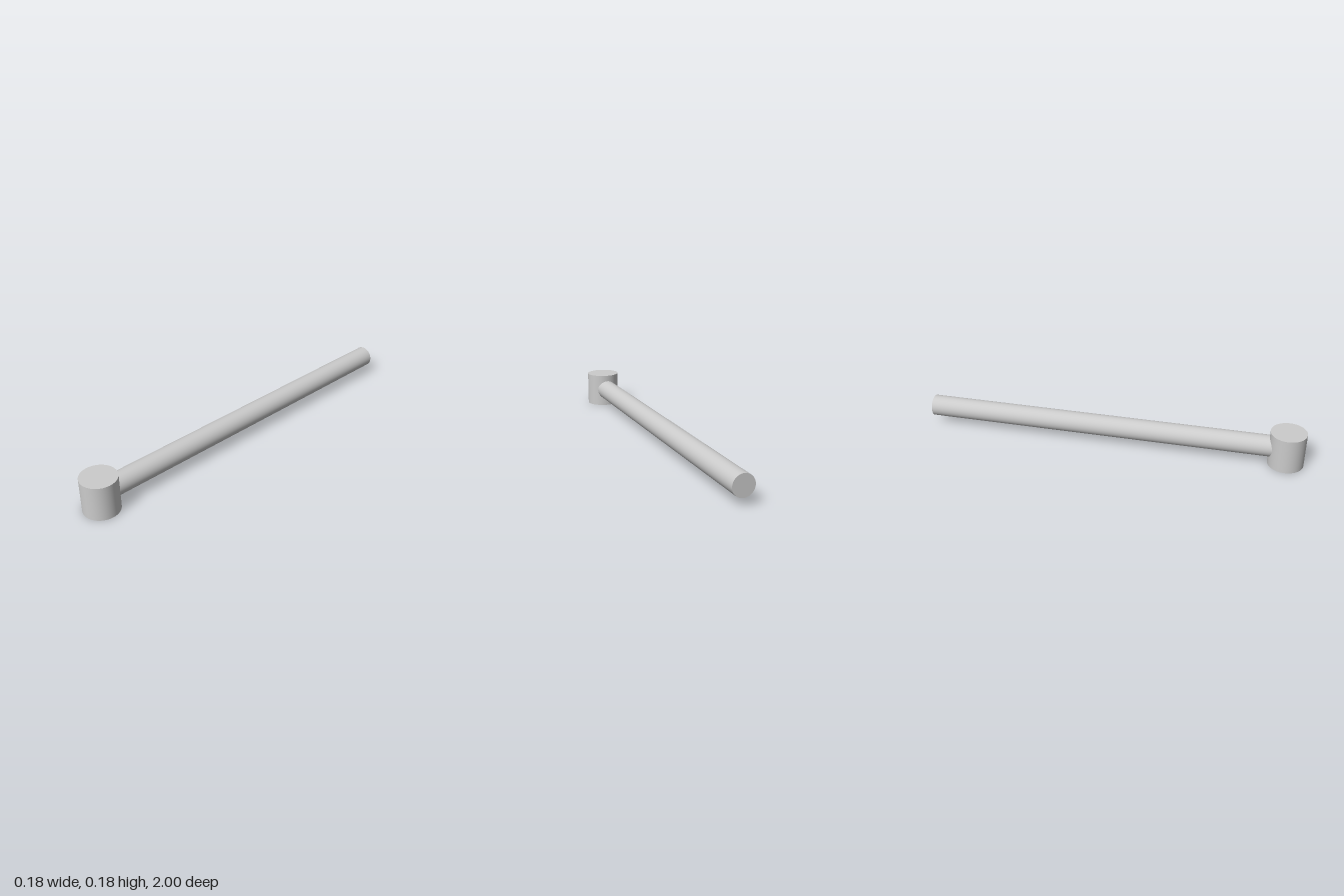
import * as THREE from 'three';

export function createModel() {
  const group = new THREE.Group();
  const material = new THREE.MeshStandardMaterial({ color: 0xcccccc });
  const hubRadius = 0.092, hubHeight = 0.184, rodRadius = 0.0555;
  const hubZ = 1 - hubRadius;

  // Upright cylindrical head at the front end
  const head = new THREE.Mesh(
    new THREE.CylinderGeometry(hubRadius, hubRadius, hubHeight, 64), material);
  head.name = 'head';
  head.position.set(0, hubHeight / 2, hubZ);
  group.add(head);

  // Long round handle, running from inside the head to the back
  const rodLength = hubZ + 1;
  const handle = new THREE.Mesh(
    new THREE.CylinderGeometry(rodRadius, rodRadius, rodLength, 64), material);
  handle.name = 'handle';
  handle.rotation.x = Math.PI / 2;
  handle.position.set(0, 0.094, hubZ - rodLength / 2);
  group.add(handle);

  return group;
}
